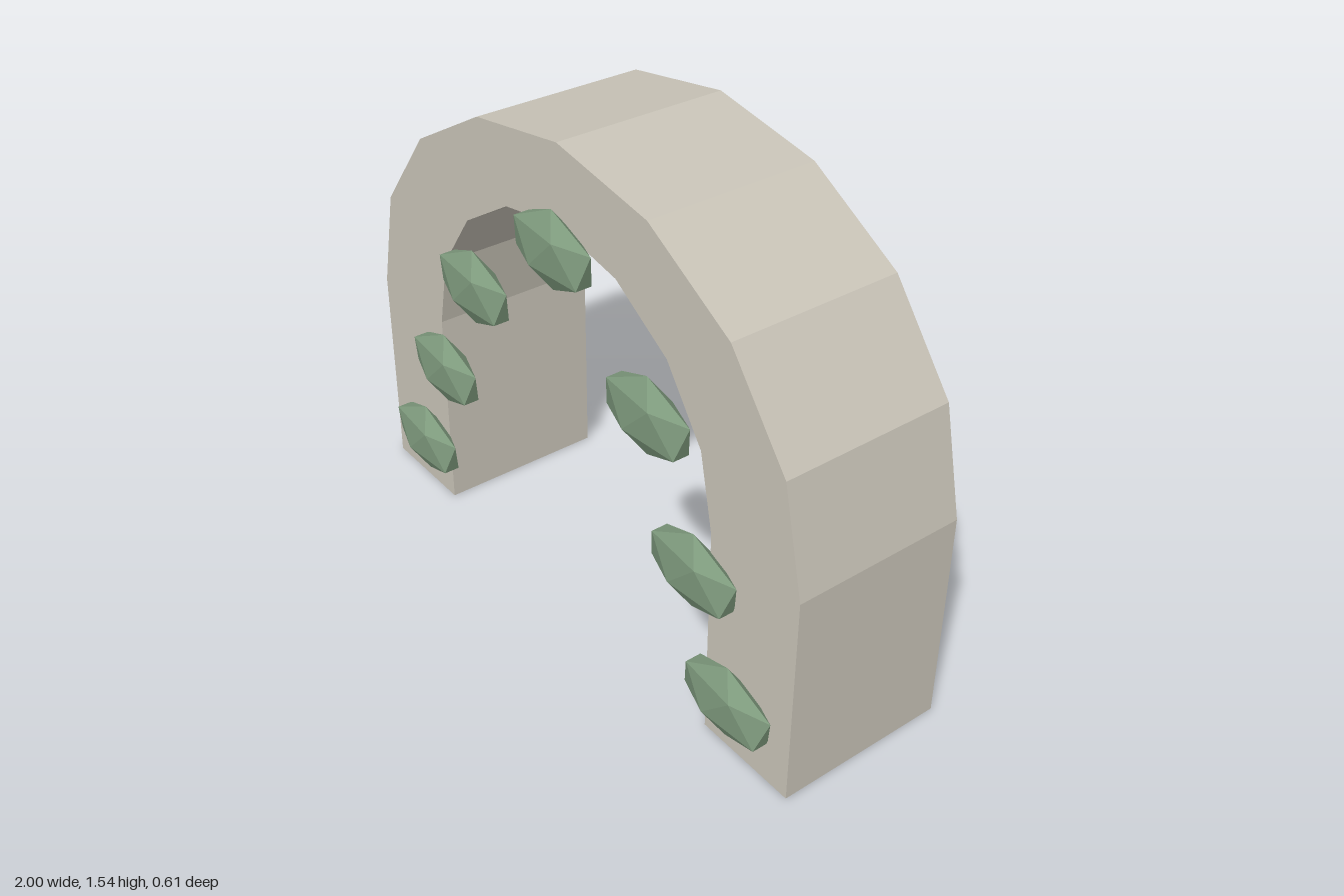
import * as THREE from 'three';

const stone = new THREE.MeshStandardMaterial({ color: 0xc9c4b8, flatShading: true });
stone.name = 'pale stone';
const leafGreen = new THREE.MeshStandardMaterial({ color: 0x7f9b7e, flatShading: true });
leafGreen.name = 'leaf green';

const SPRING = 0.68; // height where the straight legs turn into the curve
const BACK = -0.307, FRONT = 0.243;

// Half-ellipse in eight straight steps, running from +x over the top to -x
function curvePoints(rx, ry) {
  return Array.from({ length: 9 }, (_, i) => {
    const a = (i / 8) * Math.PI;
    return new THREE.Vector2(rx * Math.cos(a), SPRING + ry * Math.sin(a));
  });
}

// Arch: outer outline up and over, then back along the inner opening
function makeArch() {
  const outline = [
    new THREE.Vector2(1, 0), ...curvePoints(1, 0.86), new THREE.Vector2(-1, 0),
    new THREE.Vector2(-0.66, 0), ...curvePoints(0.66, 0.62).reverse(), new THREE.Vector2(0.66, 0),
  ];
  const geometry = new THREE.ExtrudeGeometry(new THREE.Shape(outline), {
    depth: FRONT - BACK, bevelEnabled: false,
  });
  geometry.translate(0, 0, BACK);
  const arch = new THREE.Mesh(geometry, stone);
  arch.name = 'arch';
  return arch;
}

// Leaf clump: flattened icosahedron standing on one of its points
function makeLeafGeometry() {
  const geometry = new THREE.IcosahedronGeometry(1, 0);
  geometry.rotateX(-Math.atan((1 + Math.sqrt(5)) / 2));
  geometry.rotateY(Math.PI / 2);
  geometry.scale(0.197, 0.1225, 0.049);
  geometry.computeVertexNormals();
  return geometry;
}

export function createModel() {
  const model = new THREE.Group();
  model.name = 'gardenArch';
  model.add(makeArch());

  // Leaf clumps climbing both sides and meeting at the top
  const leaves = new THREE.Group();
  leaves.name = 'leaves';
  const leafGeometry = makeLeafGeometry();
  const spots = [[0, 1.233], [0.415, 0.927], [0.615, 0.541], [0.77, 0.187]];
  for (const [x, y] of spots) {
    for (const side of x === 0 ? [1] : [1, -1]) {
      const leaf = new THREE.Mesh(leafGeometry, leafGreen);
      leaf.name = x === 0 ? 'topLeaf' : side > 0 ? 'leftLeaf' : 'rightLeaf';
      leaf.position.set(side * x, y, 0.265);
      leaves.add(leaf);
    }
  }
  model.add(leaves);
  return model;
}
